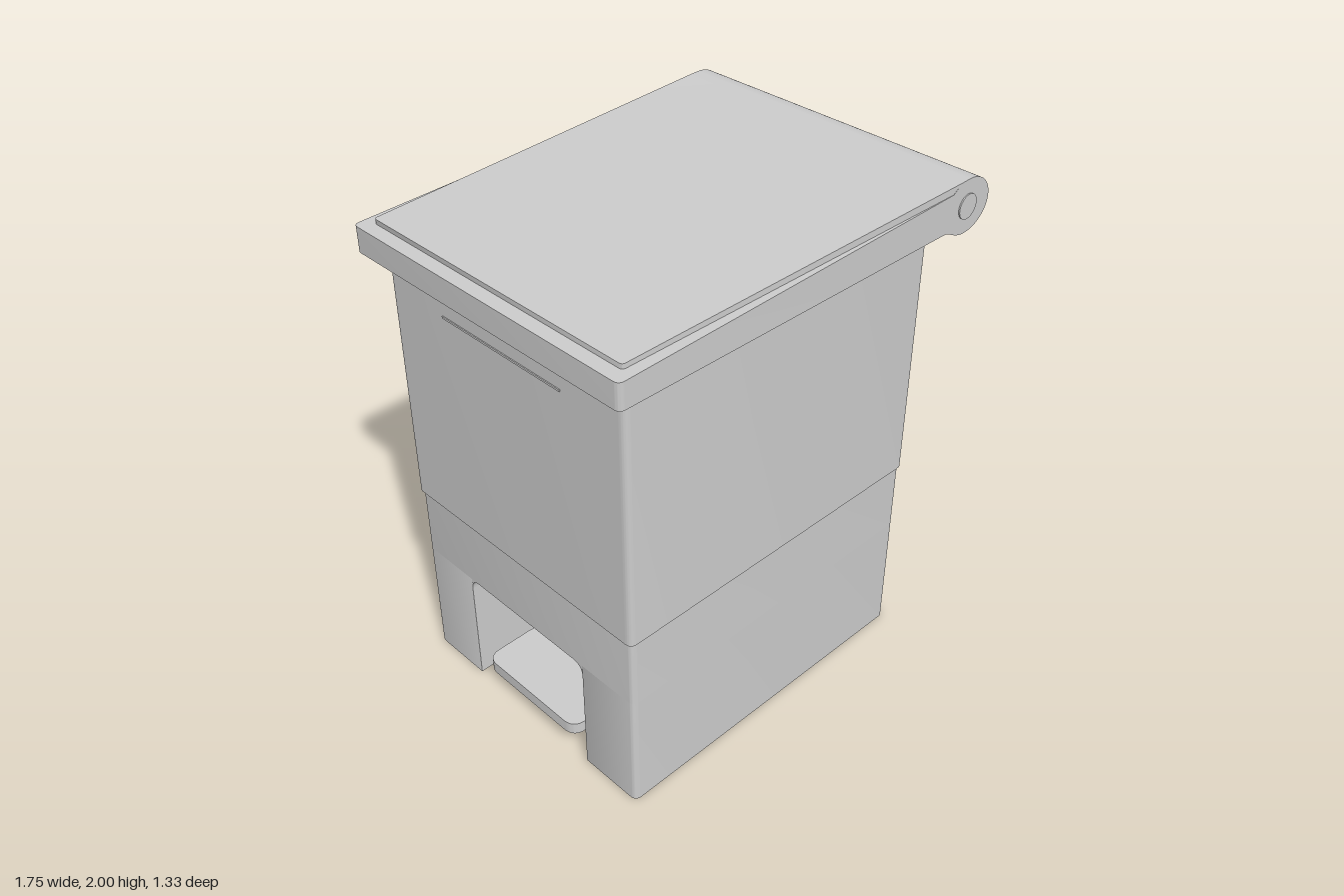
import * as THREE from 'three';
import { toCreasedNormals } from 'three/addons/utils/BufferGeometryUtils.js';

const material = new THREE.MeshStandardMaterial({ color: 0xcccccc });

// Closed shape from [x, y, cornerRadius] points, corners rounded
function roundedShape(points) {
  const shape = new THREE.Shape();
  points.forEach(([x, y, r], i) => {
    const n = points.length;
    const p = new THREE.Vector2(x, y);
    const toward = ([a, b]) => new THREE.Vector2(a, b).sub(p).setLength(r).add(p);
    const a = toward(points[(i + n - 1) % n]);
    const b = toward(points[(i + 1) % n]);
    if (i === 0) shape.moveTo(a.x, a.y);
    else shape.lineTo(a.x, a.y);
    shape.quadraticCurveTo(x, y, b.x, b.y);
  });
  shape.closePath();
  return shape;
}

const rectangle = (x0, x1, hz, r) =>
  roundedShape([[x0, -hz, r], [x1, -hz, r], [x1, hz, r], [x0, hz, r]]);

function extrude(shape, depth) {
  return new THREE.ExtrudeGeometry(shape, { depth, bevelEnabled: false, curveSegments: 12 });
}

// Floor plan raised from y0 to y1
function plan(shape, y0, y1) {
  return extrude(shape, y1 - y0).rotateX(-Math.PI / 2).translate(0, y0, 0);
}

export function createModel() {
  const model = new THREE.Group();
  const add = (name, geometry) => {
    const mesh = new THREE.Mesh(toCreasedNormals(geometry, 0.6), material);
    mesh.name = name;
    model.add(mesh);
  };

  // Lower body: U-shaped plan around the pedal opening, closed above it
  const X0 = -0.795, X1 = 0.625, HZ = 0.59, R = 0.03;
  const openZ = 0.32, openX = -0.46, openTop = 0.5;
  add('lowerBodyAroundOpening', plan(roundedShape([
    [X0, -HZ, R], [X1, -HZ, R], [X1, HZ, R], [X0, HZ, R],
    [X0, openZ, 0.002], [openX, openZ, 0.05], [openX, -openZ, 0.05], [X0, -openZ, 0.002],
  ]), 0, openTop));
  add('lowerBodyTop', plan(rectangle(X0, X1, HZ, R), openTop, 0.79));

  // Rounded upper corners of the opening
  const f = 0.05;
  for (const s of [1, -1]) {
    const fillet = new THREE.Shape();
    fillet.moveTo(s * openZ, openTop);
    fillet.lineTo(s * (openZ - f), openTop);
    fillet.quadraticCurveTo(s * openZ, openTop, s * openZ, openTop - f);
    fillet.closePath();
    add('openingCorner', extrude(fillet, openX - X0).rotateY(Math.PI / 2).translate(X0, 0, 0));
  }

  // Foot pedal and its short lever
  add('pedal', plan(rectangle(-0.802, -0.53, 0.26, 0.06), 0.08, 0.13));
  add('pedalLever', new THREE.BoxGeometry(0.1, 0.04, 0.1).translate(-0.49, 0.105, 0));

  // Upper body, slightly wider, with a thin ledge under the lid
  add('upperBody', plan(rectangle(-0.805, 0.632, 0.597, R), 0.79, 1.825));
  add('ledge', new THREE.BoxGeometry(0.012, 0.008, 0.6).translate(-0.803, 1.69, 0));

  // Lid: sloping slab, trimmed in height by a rule along x
  const lid = plan(rectangle(-0.88, 0.75, 0.66, 0.025), 1.825, 1.925);
  const slope = (geometry, x0, k, minY) => {
    const p = geometry.attributes.position;
    for (let i = 0; i < p.count; i++) {
      if (p.getY(i) > minY) p.setY(i, p.getY(i) + (p.getX(i) - x0) * k);
    }
    return geometry;
  };
  add('lid', slope(lid, -0.88, 0.028, 1.9));

  // Raised panel widening toward the hinge
  const panel = plan(roundedShape([
    [-0.825, -0.615, 0.015], [0.7, -0.66, 0.002], [0.75, -0.66, 0.002],
    [0.75, 0.66, 0.002], [0.7, 0.66, 0.002], [-0.825, 0.615, 0.015],
  ]), 1.9, 1.945);
  add('lidPanel', slope(panel, -0.825, 0.035, 0));

  // Hinge barrel with a softened join to the lid underside
  const barrel = new THREE.Shape().absellipse(0.75, 1.895, 0.122, 0.105, 0, Math.PI * 2, false, 0);
  add('hingeBarrel', new THREE.ExtrudeGeometry(barrel, {
    depth: 1.32, bevelEnabled: false, curveSegments: 64,
  }).translate(0, 0, -0.66));
  const web = new THREE.Shape();
  web.moveTo(0.63, 1.826);
  web.quadraticCurveTo(0.655, 1.824, 0.675, 1.81);
  web.lineTo(0.72, 1.84);
  web.closePath();
  add('hingeWeb', extrude(web, 1.32).translate(0, 0, -0.66));

  // Pivot pin showing at both barrel ends
  add('pivotPin', new THREE.CylinderGeometry(0.048, 0.048, 1.33, 32)
    .rotateX(Math.PI / 2).translate(0.75, 1.895, 0));

  return model;
}
